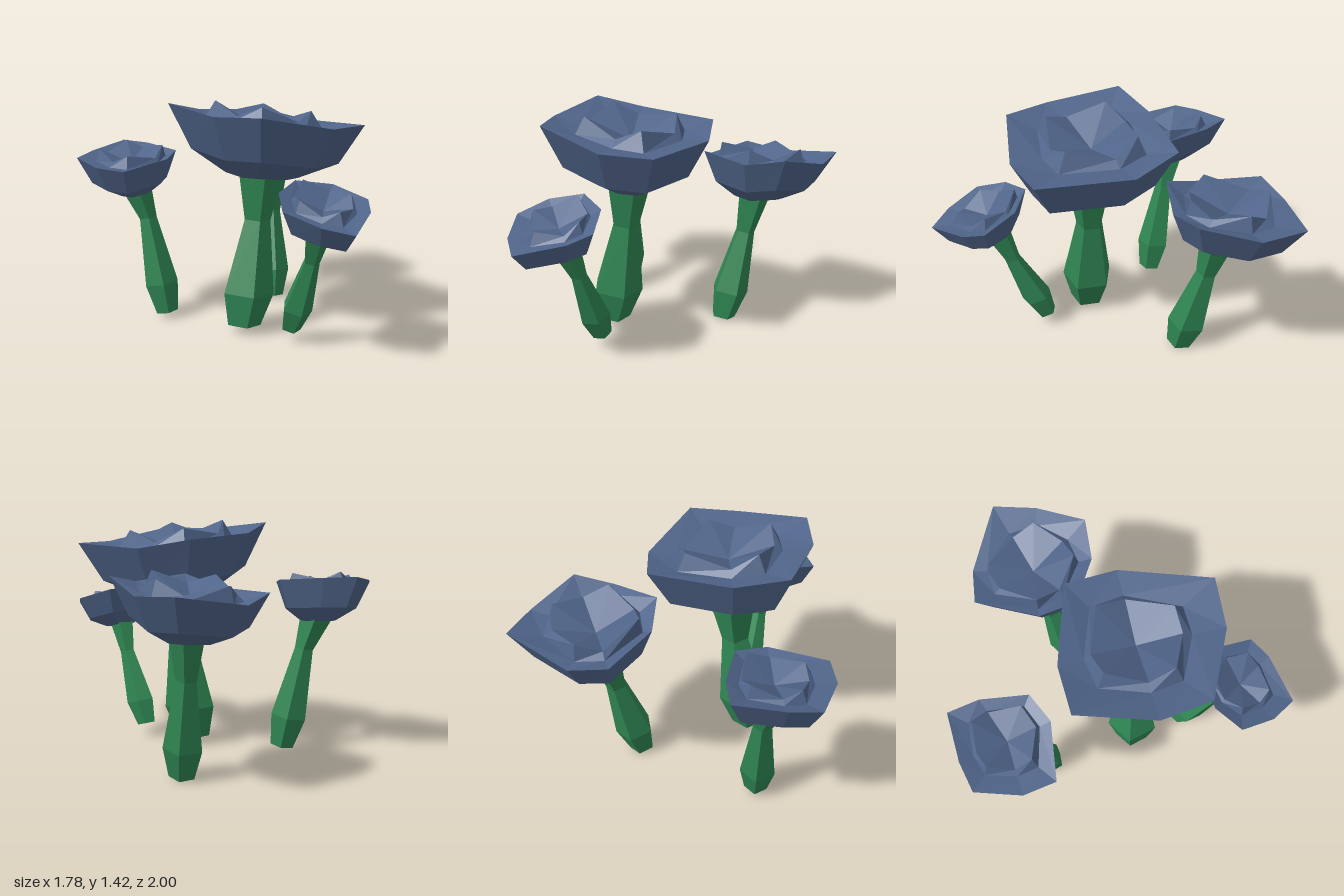
import * as THREE from 'three';

const capBlue = new THREE.MeshStandardMaterial({ color: 0x50658a, flatShading: true });
capBlue.name = 'slate blue cap';
const stalkGreen = new THREE.MeshStandardMaterial({ color: 0x2f8653, flatShading: true });
stalkGreen.name = 'leaf green stalk';

// Skin a series of equal-length rings, running from underneath, up and over the top
function loft(rings, material, name) {
  const pos = [];
  const tri = (a, b, c) => {
    const area = new THREE.Triangle(a, b, c).getArea();
    if (area > 1e-7) for (const p of [a, b, c]) pos.push(p.x, p.y, p.z);
  };
  for (let i = 0; i + 1 < rings.length; i++) {
    const lo = rings[i], hi = rings[i + 1], n = lo.length;
    for (let j = 0; j < n; j++) {
      const k = (j + 1) % n;
      tri(lo[k], lo[j], hi[j]);
      tri(lo[k], hi[j], hi[k]);
    }
  }
  const geometry = new THREE.BufferGeometry();
  geometry.setAttribute('position', new THREE.Float32BufferAttribute(pos, 3));
  geometry.computeVertexNormals();
  const mesh = new THREE.Mesh(geometry, material);
  mesh.name = name;
  return mesh;
}

const collapse = (ring, point) => ring.map(() => point);

// Five-sided stalk: foot, bulge, neck and flared top, each ring leaning with the path
function makeStalk(foot, neck, top, radius) {
  const axis = top.clone().sub(foot);
  const leanX = -0.7 * axis.x / axis.y, leanZ = -0.7 * axis.z / axis.y;
  const end = top.clone().setY(top.y + 0.02);
  const sections = [[foot, 0.66], [foot.clone().lerp(neck, 0.31), 1], [neck, 0.52], [end, 0.88]];
  const rings = sections.map(([centre, scale]) => Array.from({ length: 5 }, (_, j) => {
    const t = (j + 0.5) / 5 * Math.PI * 2;
    const dx = Math.cos(t) * radius * scale, dz = Math.sin(t) * radius * scale;
    return new THREE.Vector3(centre.x + dx, centre.y + leanX * dx + leanZ * dz, centre.z + dz);
  }));
  rings.unshift(collapse(rings[0], foot));
  return loft(rings, stalkGreen, 'stalk');
}

// Irregular cap: faceted bowl, broad tilted rim, raised jagged crest and a sunken middle
function makeCap(root, { hub: [hx, hz], rimY, tilt: [tiltX, tiltZ], zigzag, crestRadius, rim }) {
  const slope = (x, z) => rimY + tiltX * (x - hx) + tiltZ * (z - hz);
  const outer = rim.map(([x, z], j) => new THREE.Vector3(x, slope(x, z) + (j % 2 ? zigzag : -zigzag), z));
  const shrink = (scale, y, follow) => outer.map((p) => {
    const q = root.clone().lerp(p, scale);
    q.y = y + follow * (p.y - rimY);
    return q;
  });
  const bottom = shrink(0.38, root.y, 0.25);
  const middle = shrink(0.76, root.y + 0.31 * (rimY - root.y), 0.7);

  // Crest corners point at the rim corners and alternate high and low
  const crestLift = 0.1 * crestRadius;
  const crest = outer.map((p, j) => {
    const reach = crestRadius * (j % 2 ? 0.94 : 1.02) / Math.hypot(p.x - hx, p.z - hz);
    const x = hx + (p.x - hx) * reach, z = hz + (p.z - hz) * reach;
    const jag = (j % 2 ? -0.12 : 0.12) * crestRadius;
    return new THREE.Vector3(x, slope(x, z) + crestLift + jag, z);
  });
  const foot = crest.map((p, j) => {
    const q = p.clone().lerp(outer[j], 0.22);
    q.y = slope(q.x, q.z) - 0.15 * crestRadius;
    return q;
  });
  const pit = new THREE.Vector3(hx, rimY + crestLift - 0.4 * crestRadius, hz);
  const rings = [collapse(bottom, root), bottom, middle, outer, foot, crest, collapse(crest, pit)];
  return loft(rings, capBlue, 'cap');
}

// Stalk path and thickness, cap height and slope, and the rim corners in plan
const mushrooms = [
  {
    name: 'largeMushroom',
    foot: [-0.16, 0.05, 0.04], neck: [-0.06, 0.7, 0.04], top: [-0.04, 0.97, 0.04], thickness: 0.163,
    hub: [-0.01, 0.04], rimY: 1.325, tilt: [-0.11, -0.03], zigzag: -0.015, crestRadius: 0.28,
    rim: [[-0.5, -0.24], [-0.22, -0.36], [0.28, -0.4], [0.43, -0.12],
      [0.44, 0.44], [0.14, 0.53], [-0.32, 0.49], [-0.46, 0.22]],
  },
  {
    name: 'rightBackMushroom',
    foot: [-0.43, 0.035, -0.47], neck: [-0.5, 0.65, -0.57], top: [-0.555, 0.82, -0.61], thickness: 0.108,
    hub: [-0.575, -0.62], rimY: 1.06, tilt: [0.1, -0.12], zigzag: 0, crestRadius: 0.19,
    rim: [[-0.89, -0.75], [-0.74, -0.85], [-0.48, -0.96], [-0.38, -0.8],
      [-0.31, -0.53], [-0.44, -0.39], [-0.77, -0.31], [-0.87, -0.48]],
  },
  {
    name: 'leftBackMushroom',
    foot: [0.375, 0.013, -0.445], neck: [0.445, 0.59, -0.56], top: [0.475, 0.82, -0.6], thickness: 0.117,
    hub: [0.49, -0.64], rimY: 1.09, tilt: [0.04, 0.1], zigzag: 0.022, crestRadius: 0.25,
    rim: [[0.18, -0.55], [0.22, -0.94], [0.44, -1], [0.86, -0.94],
      [0.89, -0.68], [0.8, -0.36], [0.57, -0.29], [0.26, -0.34]],
  },
  {
    name: 'smallFrontMushroom',
    foot: [-0.01, 0.085, 0.34], neck: [-0.01, 0.54, 0.54], top: [-0.03, 0.71, 0.62], thickness: 0.09,
    hub: [-0.03, 0.67], rimY: 0.91, tilt: [0.02, -0.36], zigzag: 0, crestRadius: 0.17,
    rim: [[-0.32, 0.7], [-0.23, 0.53], [-0.05, 0.43], [0.15, 0.52],
      [0.25, 0.71], [0.17, 0.83], [-0.07, 1], [-0.21, 0.89]],
  },
];

export function createModel() {
  const model = new THREE.Group();
  model.name = 'mushroomCluster';
  for (const shape of mushrooms) {
    const [foot, neck, top] = [shape.foot, shape.neck, shape.top].map((p) => new THREE.Vector3(...p));
    const group = new THREE.Group();
    group.name = shape.name;
    group.add(makeStalk(foot, neck, top, shape.thickness), makeCap(top, shape));
    model.add(group);
  }
  return model;
}
